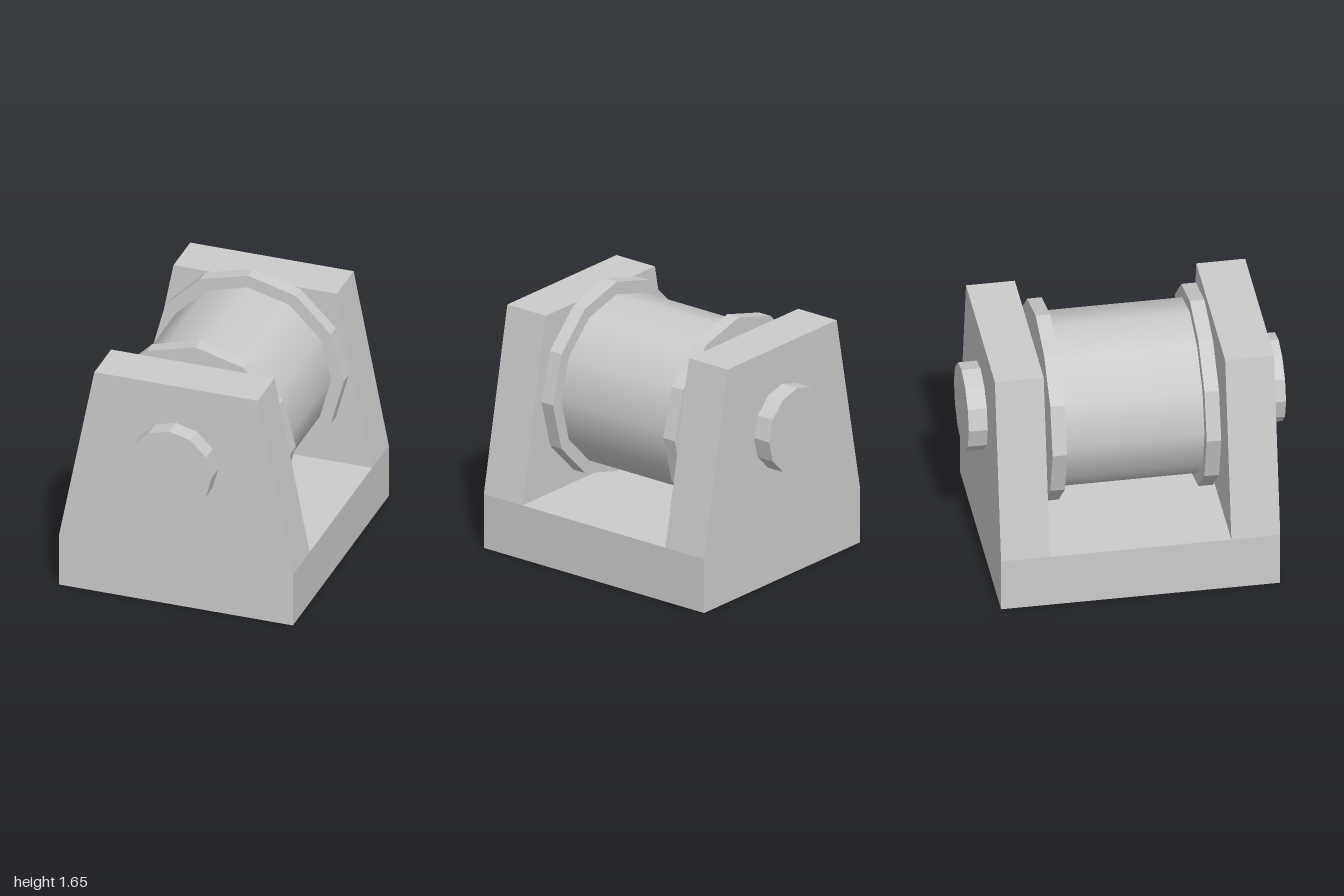
import * as THREE from 'three';

const AXLE_Y = 1.018;
const SIDES = 12;
const BASE_Y = 0.36, TOP_Y = 1.555; // floor of the yoke, top of the arms
const OUTER_Z = 0.88, INNER_Z = 0.572; // outer and inner faces of the arms

// Half width of the yoke at height y: straight base, then tapering arms
function halfWidth(y) {
  return y <= BASE_Y ? 0.772 : THREE.MathUtils.mapLinear(y, BASE_Y, TOP_Y, 0.772, 0.54);
}

// U-shaped yoke as a hollow shell, open underneath
function createYoke() {
  const positions = [];
  const quad = (a, b, c, d) => positions.push(...a, ...b, ...c, ...a, ...c, ...d);

  // Faces across the width, following the U outline (z, y) from front to back
  const outline = [
    [OUTER_Z, 0], [OUTER_Z, BASE_Y], [OUTER_Z, TOP_Y], [INNER_Z, TOP_Y], [INNER_Z, BASE_Y],
    [-INNER_Z, BASE_Y], [-INNER_Z, TOP_Y], [-OUTER_Z, TOP_Y], [-OUTER_Z, BASE_Y], [-OUTER_Z, 0],
  ];
  for (let i = 0; i < outline.length - 1; i++) {
    const [z0, y0] = outline[i];
    const [z1, y1] = outline[i + 1];
    const w0 = halfWidth(y0), w1 = halfWidth(y1);
    quad([-w0, y0, z0], [w0, y0, z0], [w1, y1, z1], [-w1, y1, z1]);
  }

  // Side walls: base plus two arms, turned half round for the other side
  for (const s of [1, -1]) {
    const wall = (yA, yB, zFront, zBack) => {
      const point = (y, z) => [s * halfWidth(y), y, s * z];
      quad(point(yA, zFront), point(yA, zBack), point(yB, zBack), point(yB, zFront));
    };
    wall(0, BASE_Y, OUTER_Z, -OUTER_Z);
    wall(BASE_Y, TOP_Y, OUTER_Z, INNER_Z);
    wall(BASE_Y, TOP_Y, -INNER_Z, -OUTER_Z);
  }

  const geometry = new THREE.BufferGeometry();
  geometry.setAttribute('position', new THREE.Float32BufferAttribute(positions, 3));
  geometry.computeVertexNormals();
  return geometry;
}

export function createModel() {
  const group = new THREE.Group();
  const flat = new THREE.MeshStandardMaterial({ color: 0xcccccc, flatShading: true });
  const smooth = new THREE.MeshStandardMaterial({ color: 0xcccccc });
  const shell = new THREE.MeshStandardMaterial({
    color: 0xcccccc, flatShading: true, side: THREE.DoubleSide,
  });

  const yoke = new THREE.Mesh(createYoke(), shell);
  yoke.name = 'yoke';
  group.add(yoke);

  // Cylinder lying along z on the axle line
  const addRoller = (name, radius, length, z, material) => {
    const geometry = new THREE.CylinderGeometry(radius, radius, length, SIDES);
    geometry.rotateX(Math.PI / 2);
    const mesh = new THREE.Mesh(geometry, material);
    mesh.name = name;
    mesh.position.set(0, AXLE_Y, z);
    group.add(mesh);
  };

  addRoller('axlePin', 0.278, 2, 0, flat);
  addRoller('drum', 0.55, 0.9, 0, smooth);
  addRoller('frontFlange', 0.633, 0.092, 0.486, flat);
  addRoller('backFlange', 0.633, 0.092, -0.486, flat);

  return group;
}
